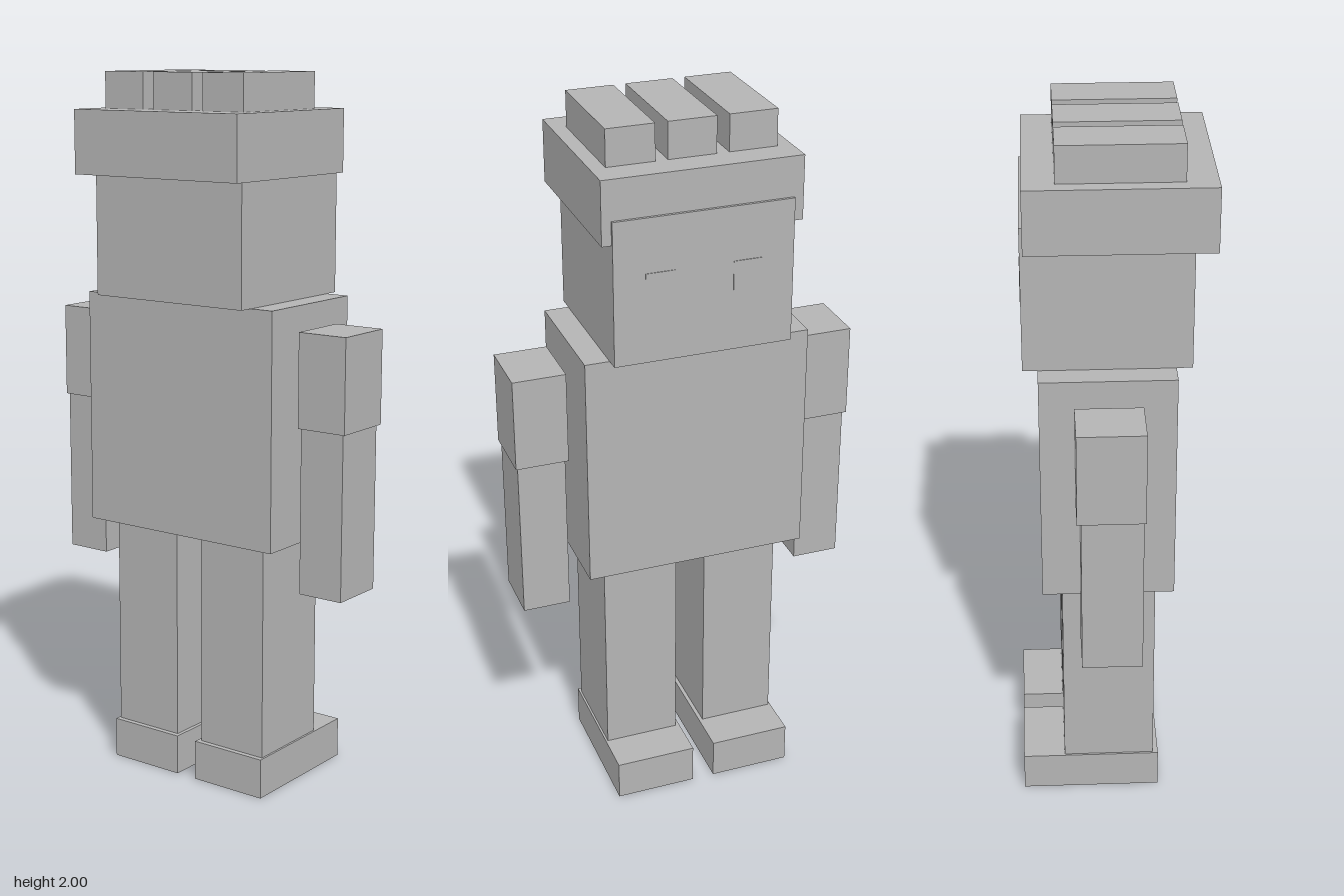
import * as THREE from 'three';

const grey = new THREE.MeshStandardMaterial({ color: 0xb4b4b4, side: THREE.DoubleSide });
grey.name = 'plain grey';

// Block given by its limits on each axis; its underside is left open.
function block(name, [x0, x1], [y0, y1], [z0, z1]) {
  const geo = new THREE.BoxGeometry(x1 - x0, y1 - y0, z1 - z0);
  const index = Array.from(geo.index.array);
  index.splice(18, 6); // the fourth face of a box is its bottom
  geo.setIndex(index);
  geo.clearGroups();
  const mesh = new THREE.Mesh(geo, grey);
  mesh.name = name;
  mesh.position.set((x0 + x1) / 2, (y0 + y1) / 2, (z0 + z1) / 2);
  return mesh;
}

// Adds a block on the left (+x) and its mirror on the right.
function pair(group, name, [x0, x1], y, z) {
  group.add(block('left' + name, [x0, x1], y, z));
  group.add(block('right' + name, [-x1, -x0], y, z));
}

export function createModel() {
  const model = new THREE.Group();
  model.name = 'blockFigure';

  // Feet and legs
  pair(model, 'Foot', [0.032, 0.263], [0, 0.115], [-0.265, 0.13]);
  pair(model, 'Leg', [0.043, 0.257], [0.115, 0.73], [-0.145, 0.115]);

  // Torso
  model.add(block('torso', [-0.315, 0.315], [0.73, 1.39], [-0.2, 0.163]));

  // Arms with wider sleeves
  pair(model, 'Arm', [0.346, 0.48], [0.6, 1.063], [-0.097, 0.068]);
  pair(model, 'Sleeve', [0.339, 0.487], [1.063, 1.325], [-0.108, 0.073]);

  // Head, with the face on the -z side
  model.add(block('head', [-0.247, 0.247], [1.39, 1.79], [-0.24, 0.206]));
  pair(model, 'Eye', [0.08, 0.16], [1.547, 1.64], [-0.242, -0.239]);

  // Hair cap with three tufts
  model.add(block('hairCap', [-0.273, 0.273], [1.725, 1.9], [-0.232, 0.263]));
  for (const x of [-0.166, 0, 0.166]) {
    model.add(block('hairTuft', [x - 0.066, x + 0.066], [1.9, 2], [-0.148, 0.18]));
  }
  return model;
}
